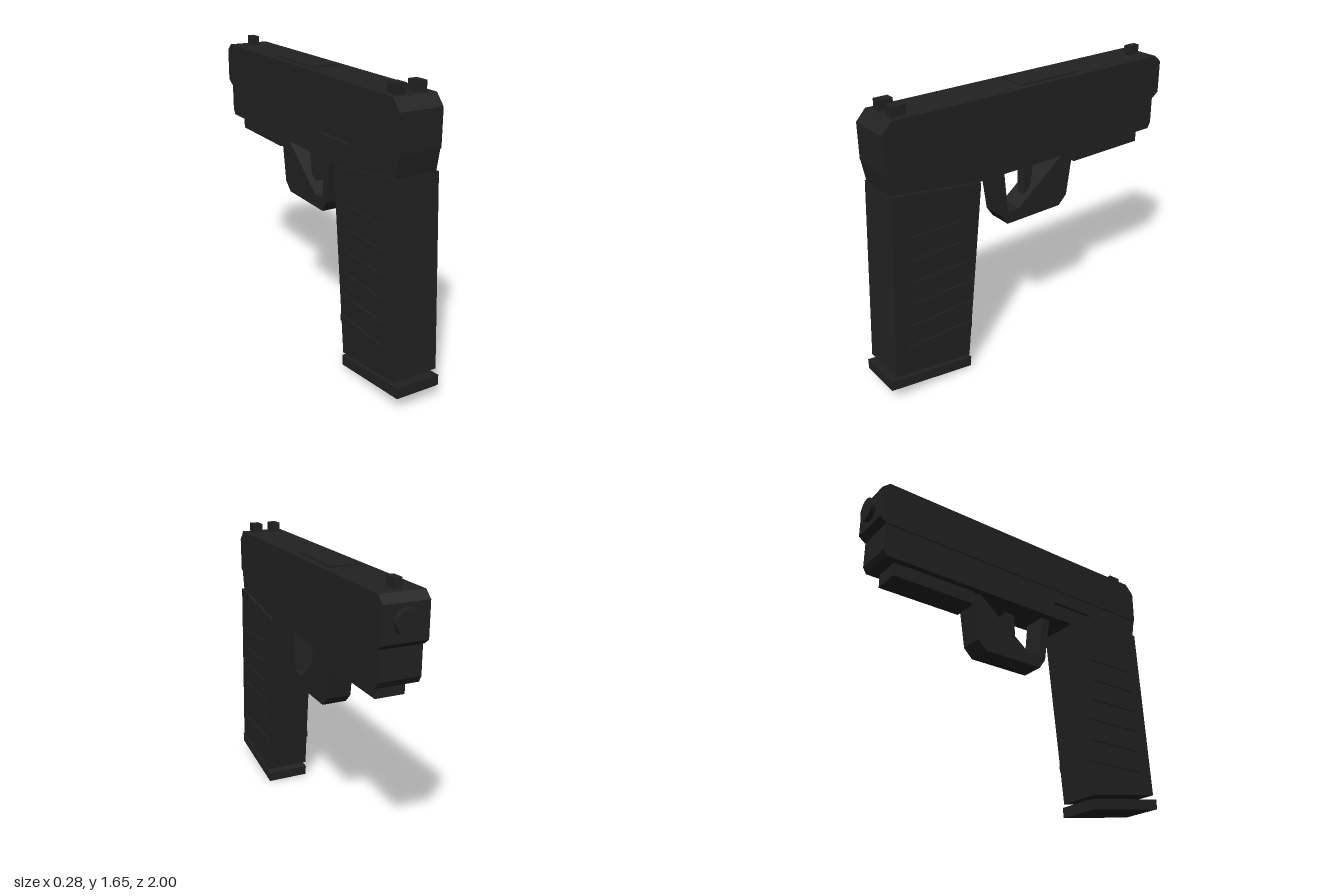
import * as THREE from 'three';

export function createModel() {
  const group = new THREE.Group();
  const black = new THREE.MeshStandardMaterial({ color: 0x222222 });
  black.name = 'matte black';

  const add = (name, geometry) => {
    const mesh = new THREE.Mesh(geometry, black);
    mesh.name = name;
    group.add(mesh);
    return mesh;
  };
  // side profile of [z, y] points, extruded across x about the centre
  const profile = (name, points, halfWidth, x = 0) => {
    const shape = new THREE.Shape(points.map(([z, y]) => new THREE.Vector2(-z, y)));
    const geometry = new THREE.ExtrudeGeometry(shape, { depth: halfWidth * 2, bevelEnabled: false });
    geometry.translate(0, 0, -halfWidth).rotateY(Math.PI / 2).translate(x, 0, 0);
    return add(name, geometry);
  };
  // box given by its limits on each axis
  const box = (name, x0, x1, y0, y1, z0, z1) => {
    const geometry = new THREE.BoxGeometry(x1 - x0, y1 - y0, z1 - z0);
    geometry.translate((x0 + x1) / 2, (y0 + y1) / 2, (z0 + z1) / 2);
    return add(name, geometry);
  };

  // upper body
  profile('slide', [[0.93, 1.34], [0.93, 1.54], [0.875, 1.6], [-0.925, 1.6],
    [-0.97, 1.56], [-0.97, 1.37], [-0.93, 1.34]], 0.124);
  profile('frame', [[0.93, 1.34], [0.908, 1.22], [0.38, 1.145], [-0.91, 1.145],
    [-0.93, 1.18], [-0.93, 1.34]], 0.118);
  box('accessoryRail', -0.082, 0.082, 1.065, 1.145, -0.845, -0.33);
  box('topPlate', -0.083, 0.083, 1.6, 1.609, -0.35, 0.065);
  box('slideStop', -0.137, -0.118, 1.24, 1.29, 0.23, 0.52);

  // muzzle
  const muzzle = new THREE.CylinderGeometry(0.067, 0.067, 0.05, 16);
  muzzle.rotateX(Math.PI / 2).translate(0, 1.472, -0.975);
  add('muzzle', muzzle);

  // sights
  box('frontSight', -0.02, 0.02, 1.6, 1.655, -0.885, -0.805);
  box('rearSightRight', -0.085, -0.032, 1.6, 1.655, 0.77, 0.85);
  box('rearSightLeft', 0.032, 0.085, 1.6, 1.655, 0.77, 0.85);

  // grip and its base
  profile('grip', [[0.91, 1.22], [0.375, 1.145], [0.49, 0.085], [0.97, 0.16]], 0.133);
  profile('basePlate', [[1, 0.14], [0.475, 0.06], [0.48, 0], [1, 0.08]], 0.129);

  // raised bars on both sides
  for (const side of [-1, 1]) {
    for (let i = 0; i < 5; i++) {
      const z = 0.85 - i * 0.068;
      profile('slideSerration', [[z + 0.015, 1.38], [z + 0.015, 1.56],
        [z - 0.015, 1.56], [z - 0.015, 1.38]], 0.004, side * 0.125);
    }
    for (let i = 0; i < 6; i++) {
      const y = 0.28 + i * 0.13, back = 0.88 - i * 0.008, front = 0.47 + i * 0.008;
      profile('gripRidge', [[back, y], [back, y + 0.04],
        [front, y + 0.04], [front, y]], 0.006, side * 0.135);
    }
  }

  // trigger and guard
  profile('triggerGuard', [[0.235, 1.145], [0.195, 0.865], [0.155, 0.805], [-0.23, 0.805],
    [-0.285, 0.86], [-0.33, 1.145], [-0.27, 1.145], [0.075, 0.877], [0.152, 0.88],
    [0.177, 1.145]], 0.072);
  profile('trigger', [[0, 1.12], [-0.065, 1.12], [-0.04, 0.96], [0.004, 0.925]], 0.03);

  return group;
}
